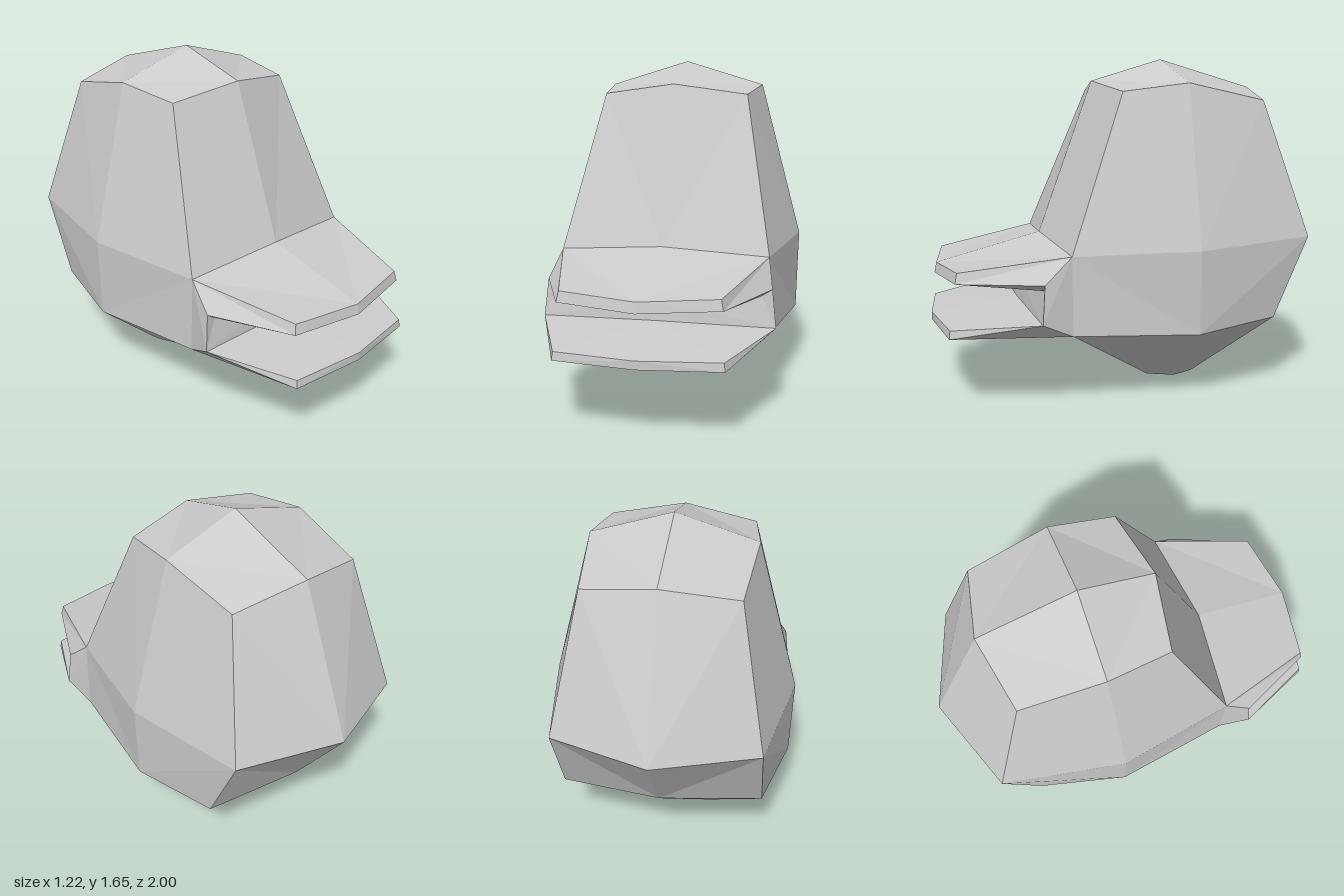
import * as THREE from 'three';

const V = (x, y, z) => new THREE.Vector3(x, y, z);
const mirror = (p) => V(-p.x, p.y, p.z);

// Flat-shaded part from faces of its +x half, mirrored across x = 0.
// Each face is a fan from its first corner, turned away from the part's centre.
function makePart(name, centre, faces) {
  const corners = [];
  const addTriangle = (a, b, c) => {
    const normal = b.clone().sub(a).cross(c.clone().sub(a));
    const middle = a.clone().add(b).add(c).divideScalar(3).sub(centre);
    corners.push(...(normal.dot(middle) < 0 ? [a, c, b] : [a, b, c]));
  };
  for (const face of faces) {
    for (let i = 1; i < face.length - 1; i++) {
      const tri = [face[0], face[i], face[i + 1]];
      addTriangle(...tri);
      addTriangle(...tri.map(mirror));
    }
  }
  const geometry = new THREE.BufferGeometry().setFromPoints(corners);
  geometry.computeVertexNormals();
  const material = new THREE.MeshStandardMaterial({ color: 0xcccccc, flatShading: true, side: THREE.DoubleSide });
  const mesh = new THREE.Mesh(geometry, material);
  mesh.name = name;
  return mesh;
}

export function createModel() {
  // Half rings: front centre, front corner, side, back corner, back centre
  const crown = [V(0, 1.54, 0.17), V(0.36, 1.49, 0.11), V(0.4, 1.53, -0.21), V(0.36, 1.445, -0.62), V(0, 1.51, -0.69)];
  const cheek = [V(0, 0.78, 0.45), V(0.51, 0.74, 0.4), V(0.61, 0.75, -0.2), V(0.49, 0.77, -0.82), V(0, 0.79, -1)];
  const jaw = [V(0, 0.31, 0.42), V(0.52, 0.365, 0.4), V(0.6, 0.345, -0.2), V(0.49, 0.37, -0.64), V(0, 0.38, -0.72)];
  const base = [V(0, 0.035, -0.05), V(0.2, 0.035, -0.07), V(0.245, 0.03, -0.2), V(0.2, 0.03, -0.31), V(0, 0.03, -0.33)];
  const apex = V(0, 1.65, -0.2);
  const foot = V(0, 0, -0.19);

  // Head: the front between cheek and jaw is left for the mouth
  const head = [
    [crown[0], crown[1], crown[2], apex],
    [crown[4], crown[3], crown[2], apex],
  ];
  for (let i = 0; i < 4; i++) {
    const fromNext = i % 2 === 1;
    const a = fromNext ? i + 1 : i;
    const b = fromNext ? i : i + 1;
    head.push([cheek[a], cheek[b], crown[b], crown[a]]);
    if (i > 0) head.push([jaw[a], cheek[a], cheek[b], jaw[b]]);
    head.push([jaw[a], jaw[b], base[b], base[a]]);
    head.push([foot, base[i], base[i + 1]]);
  }

  // Corners of the mouth
  const lipTop = V(0.54, 0.62, 0.535);
  const lipBottom = V(0.56, 0.44, 0.55);
  const palateCentre = V(0, 0.56, 0.56);
  const palateCorner = V(0.49, 0.585, 0.53);
  const tongueCentre = V(0, 0.45, 0.57);

  // Beak tips
  const upTop = [V(0, 0.65, 0.97), V(0.36, 0.665, 0.91)];
  const upUnder = [V(0, 0.6, 0.98), V(0.37, 0.615, 0.92)];
  const lowTop = [V(0, 0.4, 1), V(0.38, 0.4, 0.95)];
  const lowUnder = [V(0, 0.36, 1), V(0.385, 0.36, 0.955)];

  const mouth = [
    [palateCentre, palateCorner, lipBottom, tongueCentre],
    [lipTop, palateCorner, lipBottom],
    [cheek[1], lipTop, lipBottom, jaw[1]],
  ];
  const upperBeak = [
    [cheek[1], cheek[0], upTop[0], upTop[1]],
    [upTop[0], upTop[1], upUnder[1], upUnder[0]],
    [cheek[1], upTop[1], upUnder[1], lipTop],
    [palateCentre, palateCorner, upUnder[1], upUnder[0]],
    [palateCorner, lipTop, upUnder[1]],
  ];
  const lowerBeak = [
    [tongueCentre, lipBottom, lowTop[1], lowTop[0]],
    [lowTop[0], lowTop[1], lowUnder[1], lowUnder[0]],
    [lipBottom, lowTop[1], lowUnder[1], jaw[1]],
    [jaw[1], jaw[0], lowUnder[0], lowUnder[1]],
  ];

  const group = new THREE.Group();
  group.name = 'beakedHead';
  group.add(
    makePart('head', V(0, 0.8, -0.2), head),
    makePart('mouth', V(0, 0.5, 0), mouth),
    makePart('upperBeak', V(0, 0.64, 0.7), upperBeak),
    makePart('lowerBeak', V(0, 0.385, 0.7), lowerBeak),
  );
  return group;
}
